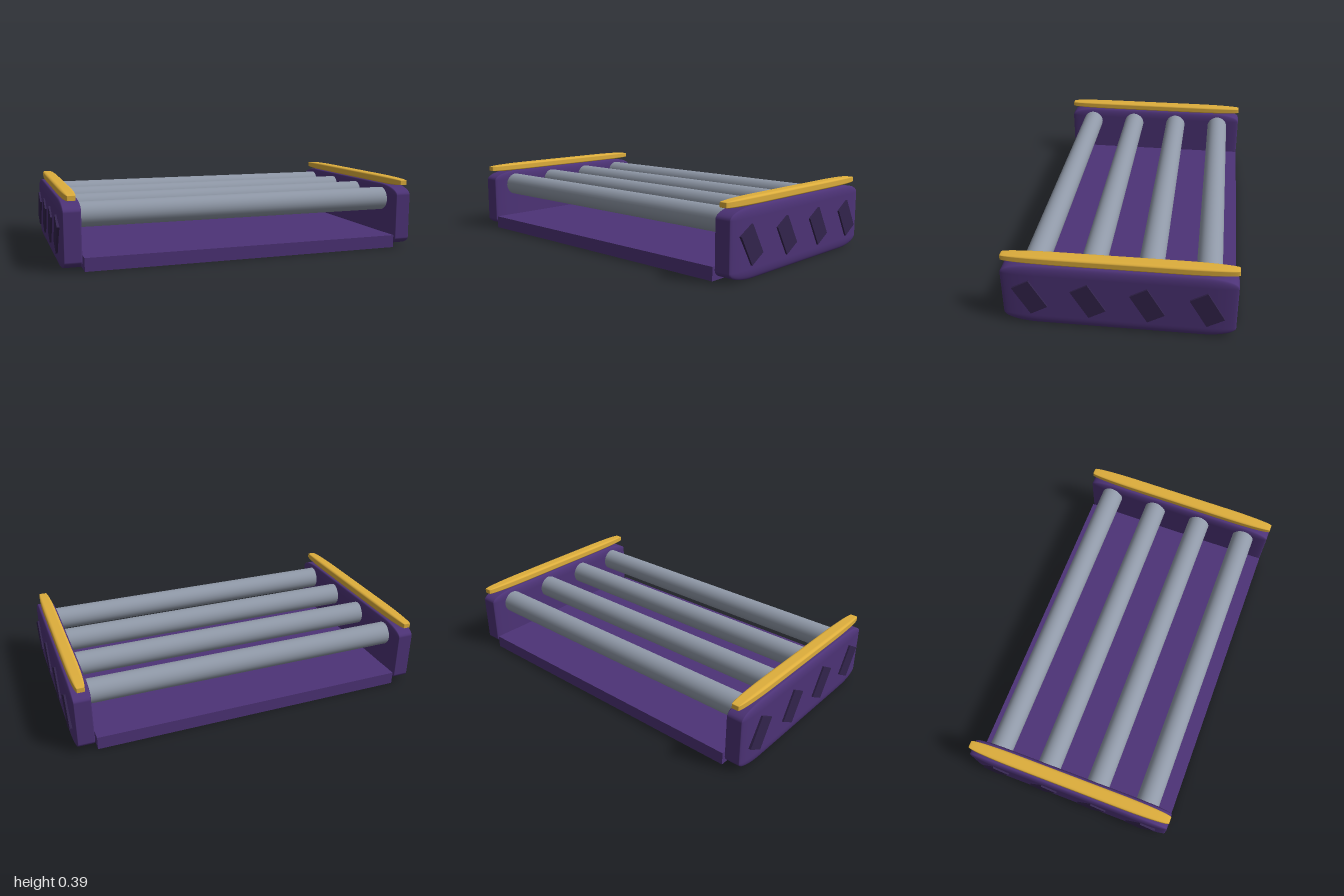
import * as THREE from 'three';
import { RoundedBoxGeometry } from 'three/addons/geometries/RoundedBoxGeometry.js';

const material = (color) => new THREE.MeshStandardMaterial({ color });

export function createModel() {
  const model = new THREE.Group();
  const purple = material(0x4d3377);
  const darkPurple = material(0x33244d);
  const gold = material(0xdeae3c);
  const steel = material(0x9099a8);

  const add = (name, geometry, mat, x, y, z, parent = model) => {
    const mesh = new THREE.Mesh(geometry, mat);
    mesh.name = name;
    mesh.position.set(x, y, z);
    parent.add(mesh);
    return mesh;
  };

  // Rounded unit cube stretched to size, so the rounding is longest along z
  const softBox = (w, h, d, radius) =>
    new RoundedBoxGeometry(1, 1, 1, 6, radius).scale(w, h, d);

  // Floor slab between the side panels
  add('base', new THREE.BoxGeometry(1.755, 0.07, 1.165), purple, 0, 0.035, 0);

  // Rollers spanning the frame
  const rollerGeometry = new THREE.CylinderGeometry(0.065, 0.065, 1.77, 32).rotateZ(Math.PI / 2);
  const slots = [-0.4375, -0.146, 0.146, 0.4375];
  slots.forEach((z, i) => add(`roller${i + 1}`, rollerGeometry, steel, 0, 0.265, z));

  // Side panels with top rail and slanted inset plates
  const panelGeometry = softBox(0.115, 0.35, 1.165, 0.15);
  const railGeometry = softBox(0.07, 0.045, 1.165, 0.25);
  const plateGeometry = new THREE.BoxGeometry(0.02, 0.174, 0.1);
  for (const [side, s] of [['left', 1], ['right', -1]]) {
    const group = new THREE.Group();
    group.name = `${side}Side`;
    model.add(group);
    add(`${side}Panel`, panelGeometry, purple, s * 0.933, 0.175, 0, group);
    add(`${side}Rail`, railGeometry, gold, s * 0.933, 0.3685, 0, group);
    slots.forEach((z, i) => {
      const plate = add(`${side}Plate${i + 1}`, plateGeometry, darkPurple, s * 0.99, 0.17, z, group);
      plate.rotation.x = Math.PI / 6;
    });
  }
  return model;
}
